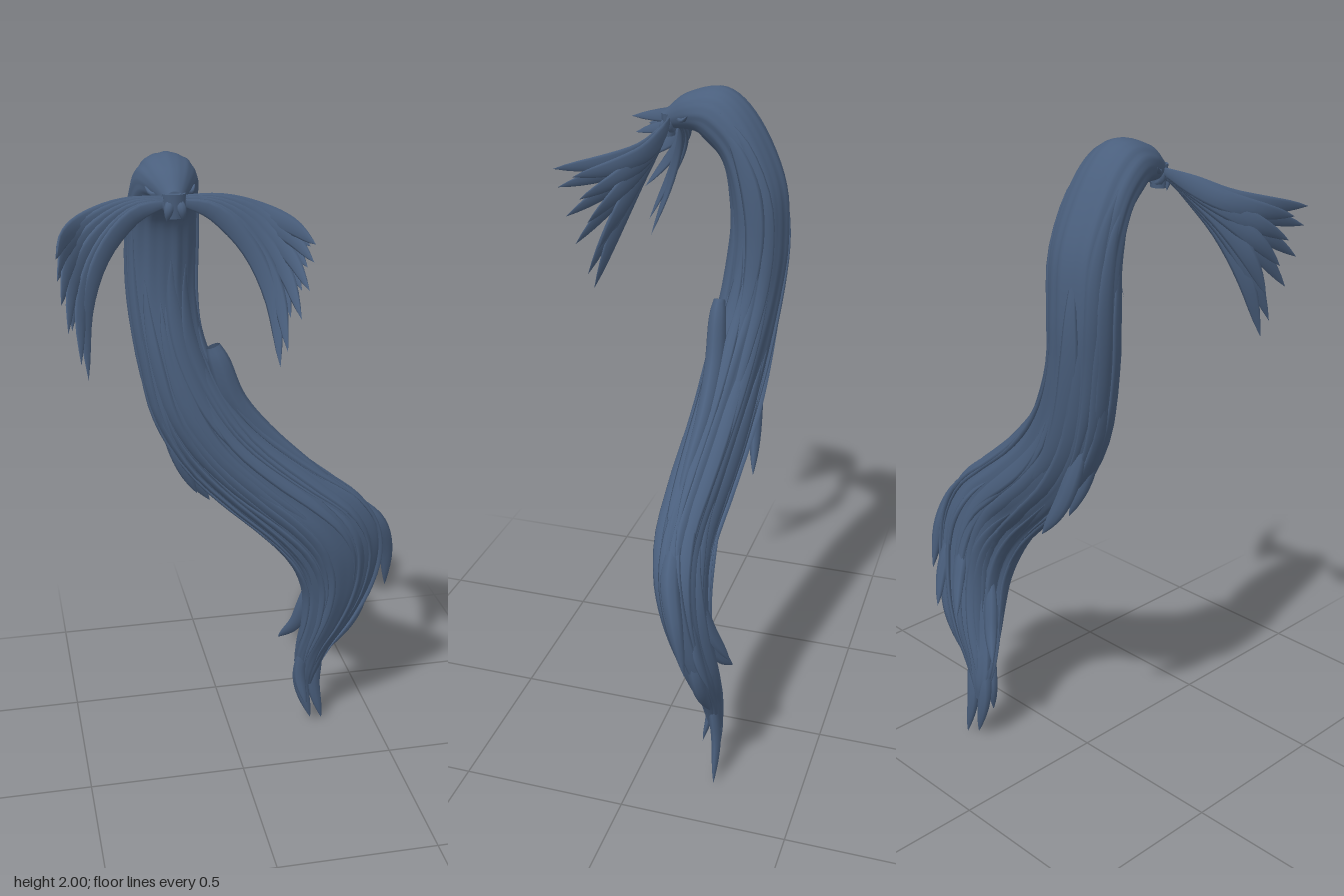
import * as THREE from 'three';

const hair = new THREE.MeshStandardMaterial({ color: 0x4a5f7d, side: THREE.DoubleSide });
hair.name = 'slateBlueHair';
const V = (x, y, z) => new THREE.Vector3(x, y, z);
const curve = (pts) => new THREE.CatmullRomCurve3(pts, false, 'catmullrom', 0.5);

let seed = 7;
const rnd = () => (seed = (seed * 16807) % 2147483647) / 2147483647;

// Skin a list of rings (equal point counts) into a tube
function loft(name, rings) {
  const n = rings[0].length, pos = [], idx = [];
  rings.forEach((r) => r.forEach((p) => pos.push(p.x, p.y, p.z)));
  for (let i = 0; i < rings.length - 1; i++)
    for (let j = 0; j < n; j++) {
      const k = (j + 1) % n, a = i * n + j, b = i * n + k;
      idx.push(a, b, b + n, a, b + n, a + n);
    }
  const g = new THREE.BufferGeometry();
  g.setAttribute('position', new THREE.Float32BufferAttribute(pos, 3));
  g.setIndex(idx);
  g.computeVertexNormals();
  const m = new THREE.Mesh(g, hair);
  m.name = name;
  return m;
}

// Tapered flat lock along points; normalAt(t) faces its broad side,
// start is the root width, a higher blunt keeps the width nearer the tip
function lock(name, pts, width, thick, normalAt, start = 0, steps = 16, blunt = 3) {
  const c = curve(pts), rings = [];
  for (let i = 0; i <= steps; i++) {
    const t = i / steps, p = c.getPoint(t), T = c.getTangent(t);
    const D = normalAt(t).clone();
    D.addScaledVector(T, -D.dot(T)).normalize();
    const W = D.clone().cross(T).normalize();
    const f = (start + (1 - start) * Math.sin(Math.min(1, t / 0.4) * Math.PI / 2)) * (1 - t ** blunt) + 0.01;
    const ring = [];
    for (let j = 0; j < 8; j++) {
      const a = j / 8 * Math.PI * 2;
      ring.push(p.clone().addScaledVector(W, Math.cos(a) * width * f).addScaledVector(D, Math.sin(a) * thick * f));
    }
    rings.push(ring);
  }
  return loft(name, rings);
}

// Tail sections: centre, half-width vector, half-depth vector (towards the inner side)
const arch = [
  // y, z, half width, depth y, depth z
  [1.90, 0.07, 0.028, -0.026, -0.01],
  [1.925, 0.0, 0.065, -0.055, -0.012],
  [1.925, -0.07, 0.09, -0.074, 0.03],
  [1.855, -0.145, 0.102, -0.06, 0.05],
  [1.72, -0.197, 0.106, -0.025, 0.08],
  [1.57, -0.207, 0.104, 0, 0.086],
].map(([y, z, w, dy, dz]) => [V(-0.2, y, z), V(w, 0, 0), V(0, dy, dz)]);
const fall = [
  // left x, y, right x, y, front z, back z, forward tilt of the right edge
  [-0.285, 1.4, -0.075, 1.42, -0.105, -0.28, 0],
  [-0.24, 1.18, 0.0, 1.28, -0.09, -0.258, 0.005],
  [-0.15, 1.02, 0.1, 1.15, -0.08, -0.24, 0.01],
  [-0.03, 0.89, 0.27, 1.01, -0.066, -0.222, 0.01],
  [0.09, 0.78, 0.41, 0.9, -0.06, -0.203, 0],
  [0.18, 0.67, 0.485, 0.77, -0.075, -0.205, -0.01],
  [0.225, 0.55, 0.485, 0.6, -0.108, -0.218, -0.02],
  [0.225, 0.42, 0.43, 0.43, -0.145, -0.24, -0.025],
  [0.215, 0.3, 0.35, 0.31, -0.175, -0.247, -0.01],
  [0.225, 0.22, 0.305, 0.22, -0.195, -0.248, 0],
  [0.25, 0.16, 0.285, 0.16, -0.215, -0.24, 0],
].map(([lx, ly, rx, ry, f, b, tilt]) => [
  V((lx + rx) / 2, (ly + ry) / 2, (f + b) / 2), V((rx - lx) / 2, (ry - ly) / 2, tilt), V(0, 0, (f - b) / 2)]);
const [centre, wide, deep] = [0, 1, 2].map((k) => curve([...arch, ...fall].map((s) => s[k])));
const onTail = (u, a, r) => centre.getPoint(u)
  .addScaledVector(wide.getPoint(u), Math.cos(a) * r)
  .addScaledVector(deep.getPoint(u), Math.sin(a) * r);

function tail() {
  const g = new THREE.Group();
  g.name = 'tail';
  // Grooved core
  const rings = [];
  for (let i = 0; i <= 90; i++) {
    const u = i / 90, ring = [];
    for (let j = 0; j < 64; j++) {
      const a = j / 64 * Math.PI * 2;
      const groove = 0.022 * Math.cos(9 * a + 5 * u) + 0.02 * Math.cos(16 * a - 4 * u);
      ring.push(onTail(u, a, 0.96 + groove * Math.min(1, u * 4)));
    }
    rings.push(ring);
  }
  g.add(loft('tailCore', rings));

  // Strands lying along the surface
  for (let i = 0; i < 44; i++) {
    const a0 = i * 2.39996, drift = (rnd() - 0.5) * 0.5;
    const u0 = 0.14 + rnd() * 0.5, u1 = Math.min(0.92, u0 + 0.25 + rnd() * 0.25);
    const at = (t, r) => onTail(u0 + (u1 - u0) * t, a0 + drift * t, r);
    const pts = [0, 1, 2, 3, 4, 5, 6, 7].map((k) => at(k / 7, 0.95));
    g.add(lock('surfaceStrand', pts, 0.02 + rnd() * 0.012, 0.009, (t) => at(t, 2).sub(at(t, 0)), 0, 22));
  }

  // Loose locks breaking the outline
  const front = () => V(0, 0, 1);
  const loose = (width, thick, ...pts) => g.add(lock('looseLock', pts, width, thick, front, 0.3, 16, 4));
  loose(0.03, 0.028, V(0.36, 0.91, -0.13), V(0.46, 0.8, -0.14), V(0.508, 0.68, -0.17), V(0.521, 0.53, -0.2));
  loose(0.028, 0.018, V(0.26, 0.6, -0.17), V(0.228, 0.43, -0.205), V(0.17, 0.34, -0.25));
  loose(0.03, 0.02, V(-0.21, 1.2, -0.21), V(-0.14, 1.01, -0.225), V(-0.06, 0.875, -0.24));
  loose(0.022, 0.02, V(-0.2, 1.16, -0.16), V(-0.16, 1.04, -0.17), V(-0.11, 0.93, -0.18));
  loose(0.028, 0.022, V(0.45, 0.6, -0.19), V(0.42, 0.43, -0.215), V(0.33, 0.28, -0.225));
  loose(0.028, 0.014, V(0.36, 0.7, -0.19), V(0.35, 0.57, -0.23), V(0.31, 0.455, -0.277));
  loose(0.025, 0.014, V(0.43, 0.7, -0.18), V(0.45, 0.56, -0.215), V(0.44, 0.44, -0.25));
  loose(0.022, 0.014, V(0.27, 0.42, -0.18), V(0.235, 0.23, -0.2), V(0.255, 0.1, -0.182));
  loose(0.024, 0.016, V(0.31, 0.32, -0.22), V(0.293, 0.16, -0.234), V(0.325, 0.005, -0.237));
  loose(0.028, 0.018, V(0.26, 0.33, -0.215), V(0.245, 0.18, -0.226), V(0.282, 0.02, -0.225));

  // Side lock that starts as a rounded bump
  g.add(lock('sideLock', [V(-0.065, 1.425, -0.125), V(-0.045, 1.37, -0.125), V(0.0, 1.25, -0.13),
    V(0.1, 1.13, -0.13), V(0.25, 1.0, -0.12), V(0.4, 0.88, -0.12)], 0.038, 0.03, front, 0.55, 24));
  return g;
}

// Fan of flat locks sweeping out from the knot; s = 1 left, -1 right
function fan(s) {
  const g = new THREE.Group();
  g.name = s > 0 ? 'leftFan' : 'rightFan';
  const upper = [V(0.01, 1.905, 0.06), V(0.13, 1.885, 0.05), V(0.235, 1.858, 0.08), V(0.3, 1.838, 0.165), V(0.33, 1.82, 0.293)];
  const lower = [V(0.01, 1.895, 0.065), V(0.11, 1.86, 0.068), V(0.2, 1.765, 0.1), V(0.252, 1.63, 0.148), V(0.26, 1.465, 0.21)];
  [0, 0.06, 0.14, 0.26, 0.37, 0.48, 0.6, 0.74, 0.87, 1].forEach((k, i) => {
    const bulge = Math.sin(k * Math.PI) * 0.022, short = i % 2 && k < 1 ? 0.05 : 0;
    const pts = upper.map((p, j) => {
      const q = p.clone().lerp(lower[j], k), f = j / 4;
      q.x = -0.2 + s * (q.x + bulge * f * f);
      q.y += short * k * f * f;
      q.z -= short * f * f;
      return q;
    });
    const across = lower[3].clone().sub(upper[3]);
    across.x *= s;
    const normal = pts[4].clone().sub(pts[1]).cross(across).multiplyScalar(s);
    g.add(lock('fanLock', pts, 0.028, 0.007, () => normal, 0.2, 16, 6));
  });
  return g;
}

// Small gathered knot where everything meets
function knot() {
  const g = new THREE.Group();
  g.name = 'knot';
  const band = new THREE.Mesh(new THREE.TorusGeometry(0.026, 0.01, 8, 20), hair);
  band.name = 'knotBand';
  band.position.set(-0.2, 1.893, 0.06);
  g.add(band);
  const core = new THREE.Mesh(new THREE.CylinderGeometry(0.032, 0.024, 0.065, 10), hair);
  core.name = 'knotCore';
  core.scale.z = 0.7;
  core.position.set(-0.2, 1.885, 0.068);
  g.add(core);
  for (const s of [-1, 1]) {
    g.add(lock('knotTuft', [V(-0.2 + s * 0.01, 1.91, 0.06), V(-0.2 + s * 0.025, 1.915, 0.03),
      V(-0.2 + s * 0.05, 1.91, 0.01), V(-0.2 + s * 0.068, 1.925, -0.005)], 0.02, 0.01, () => V(0, 1, 0.3), 0.5, 8));
    g.add(lock('knotEnd', [V(-0.2 + s * 0.012, 1.9, 0.075), V(-0.2 + s * 0.018, 1.875, 0.085),
      V(-0.2 + s * 0.022, 1.845, 0.08)], 0.014, 0.01, () => V(0, 0, 1), 0.6, 8));
  }
  return g;
}

export function createModel() {
  const model = new THREE.Group();
  model.name = 'tiedHair';
  model.add(tail(), knot(), fan(1), fan(-1));
  return model;
}
